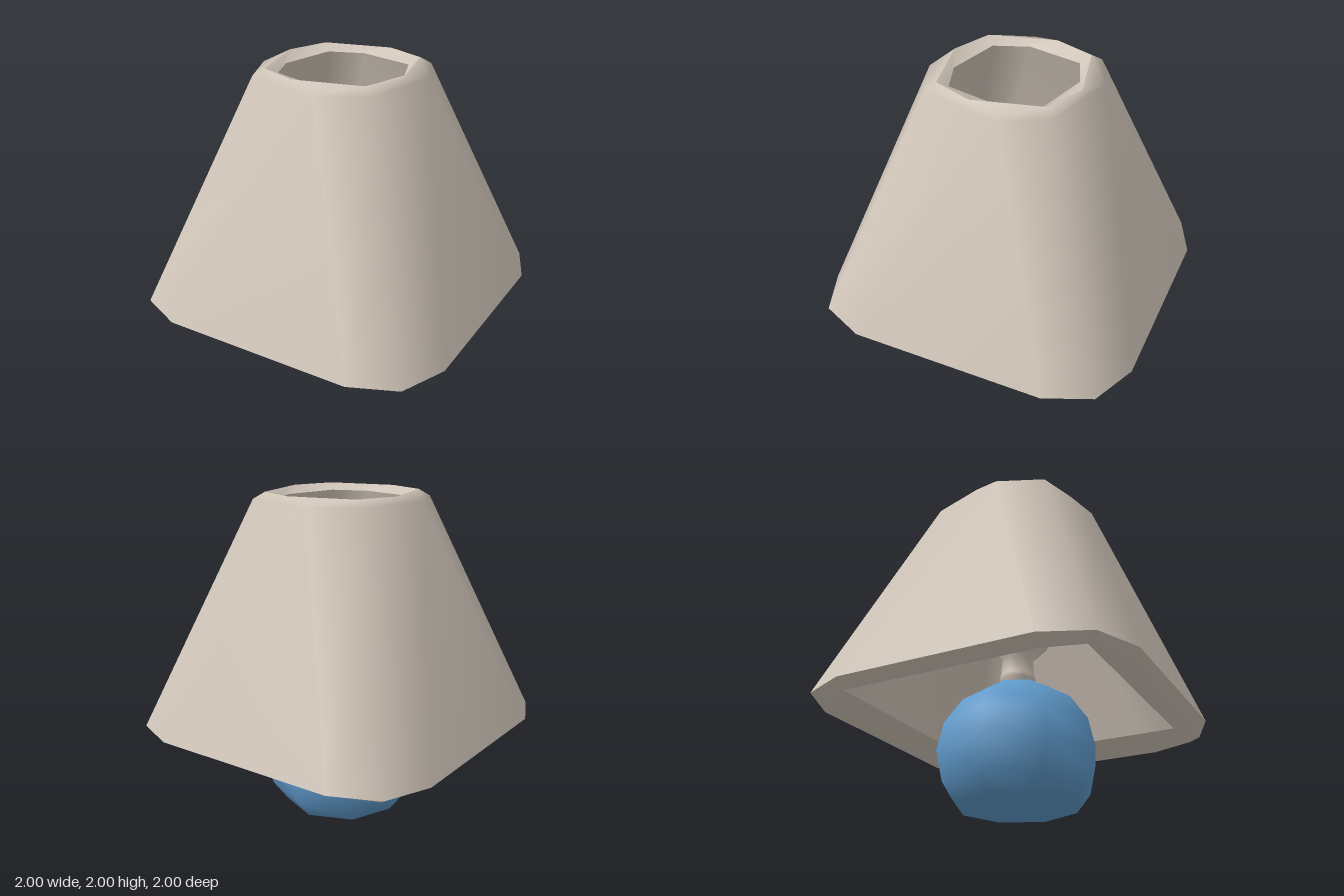
import * as THREE from 'three';
import { mergeVertices } from 'three/addons/utils/BufferGeometryUtils.js';

// Twelve-point rounded square; a and b are the two side points, e the half width, c the corner
function ring(y, a, b, e, c) {
  const pts = [];
  for (let k = 0; k < 4; k++) {
    for (let [x, z] of [[a, -e], [b, -e], [c, -c]]) {
      for (let r = 0; r < k; r++) [x, z] = [-z, x];
      pts.push([x, y, z]);
    }
  }
  return pts;
}

// Smooth closed band through successive rings
function band(rings) {
  const n = rings[0].length, index = [];
  for (let j = 0; j < rings.length - 1; j++) {
    for (let i = 0; i < n; i++) {
      const a = j * n + i, b = j * n + (i + 1) % n;
      index.push(a, a + n, b, b, a + n, b + n);
    }
  }
  let geo = new THREE.BufferGeometry();
  geo.setAttribute('position', new THREE.Float32BufferAttribute(rings.flat(2), 3));
  geo.setIndex(index);
  geo = mergeVertices(geo);
  geo.computeVertexNormals();
  return geo;
}

const lathe = (pts) => new THREE.LatheGeometry(pts.map(([x, y]) => new THREE.Vector2(x, y)), 8);

export function createModel() {
  const beige = new THREE.MeshStandardMaterial({ color: 0xcfc4b8 });
  beige.name = 'beige';
  const blue = new THREE.MeshStandardMaterial({ color: 0x5f9acb });
  blue.name = 'blue';

  const model = new THREE.Group();
  model.name = 'tableLamp';
  const add = (name, geo, mat, parent = model) => {
    const mesh = new THREE.Mesh(geo, mat);
    mesh.name = name;
    parent.add(mesh);
  };

  // Shade: thick hollow shell with bevelled rims; the top rings have one point per side
  const shade = new THREE.Group();
  shade.name = 'shade';
  model.add(shade);
  const outerBottom = ring(0.57, -0.6, 0.6, 1, 0.88);
  const outerTop = ring(1.96, -0.1, -0.1, 0.5, 0.38);
  const rim = ring(2, 0.08, 0.08, 0.43, 0.33);
  const innerTop = ring(1.96, -0.07, -0.07, 0.36, 0.28);
  const innerBottom = ring(0.61, -0.5, 0.5, 0.75, 0.75);
  const lip = ring(0.53, -0.56, 0.56, 0.93, 0.83);
  add('shadeOuterWall', band([outerBottom, outerTop, rim]), beige, shade);
  add('shadeTopBevel', band([rim, innerTop]), beige, shade);
  add('shadeInnerWall', band([innerTop, innerBottom]), beige, shade);
  add('shadeInnerLip', band([innerBottom, lip]), beige, shade);
  add('shadeOuterLip', band([lip, outerBottom]), beige, shade);

  // Round base, flat underneath
  add('base', lathe([[0, 0], [0.37, 0], [0.46, 0.12], [0.5, 0.3], [0.46, 0.48], [0.35, 0.64],
    [0.19, 0.74], [0, 0.78]]), blue);

  // Bulb with its neck, standing on the base
  add('bulb', lathe([[0.09, 0.74], [0.12, 0.8], [0.11, 0.83], [0.1, 0.95], [0.19, 1.04],
    [0.25, 1.16], [0.24, 1.28], [0.16, 1.39], [0.05, 1.43], [0, 1.43]]), beige);

  return model;
}
